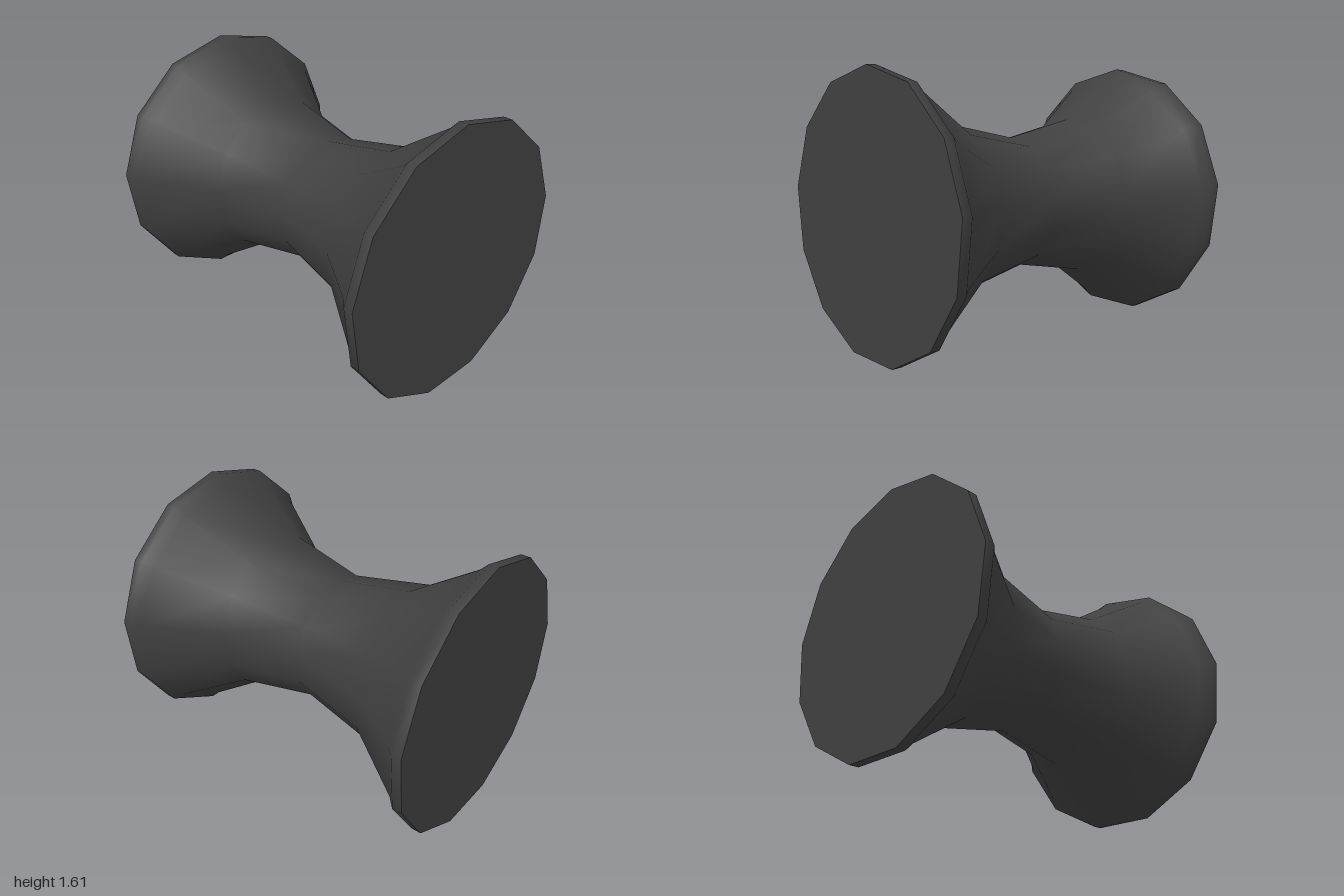
import * as THREE from 'three';

const SIDES = 13;
const ROLL = 0.01;
const RIM = 0.801;
const HALF = 0.989;

export function createModel() {
  const material = new THREE.MeshStandardMaterial({ color: 0x404040 });
  const spool = new THREE.Group();
  spool.name = 'spool';

  const add = (name, geometry) => {
    const mesh = new THREE.Mesh(geometry, material);
    mesh.name = name;
    spool.add(mesh);
  };

  // waisted body with a chamfered lip at each end, turned around the x axis
  const half = [[0.482, 0.484], [0.882, 0.75], [0.932, RIM], [HALF, RIM]];
  const profile = [
    ...half.map(([x, r]) => new THREE.Vector2(r, -x)).reverse(),
    new THREE.Vector2(0.386, 0),
    ...half.map(([x, r]) => new THREE.Vector2(r, x)),
  ];
  const body = new THREE.LatheGeometry(profile, SIDES, -Math.PI / 2 + ROLL);
  add('body', body.rotateZ(-Math.PI / 2));

  // flat end discs
  for (const [name, side] of [['leftEnd', 1], ['rightEnd', -1]]) {
    const disc = new THREE.CircleGeometry(RIM, SIDES, Math.PI / 2 + side * ROLL);
    add(name, disc.rotateY(side * Math.PI / 2).translate(side * HALF, 0, 0));
  }

  // slight lean of the axis
  spool.rotation.set(0, -0.0115, 0.013);
  spool.position.y = 0.791;

  const model = new THREE.Group();
  model.add(spool);
  return model;
}
